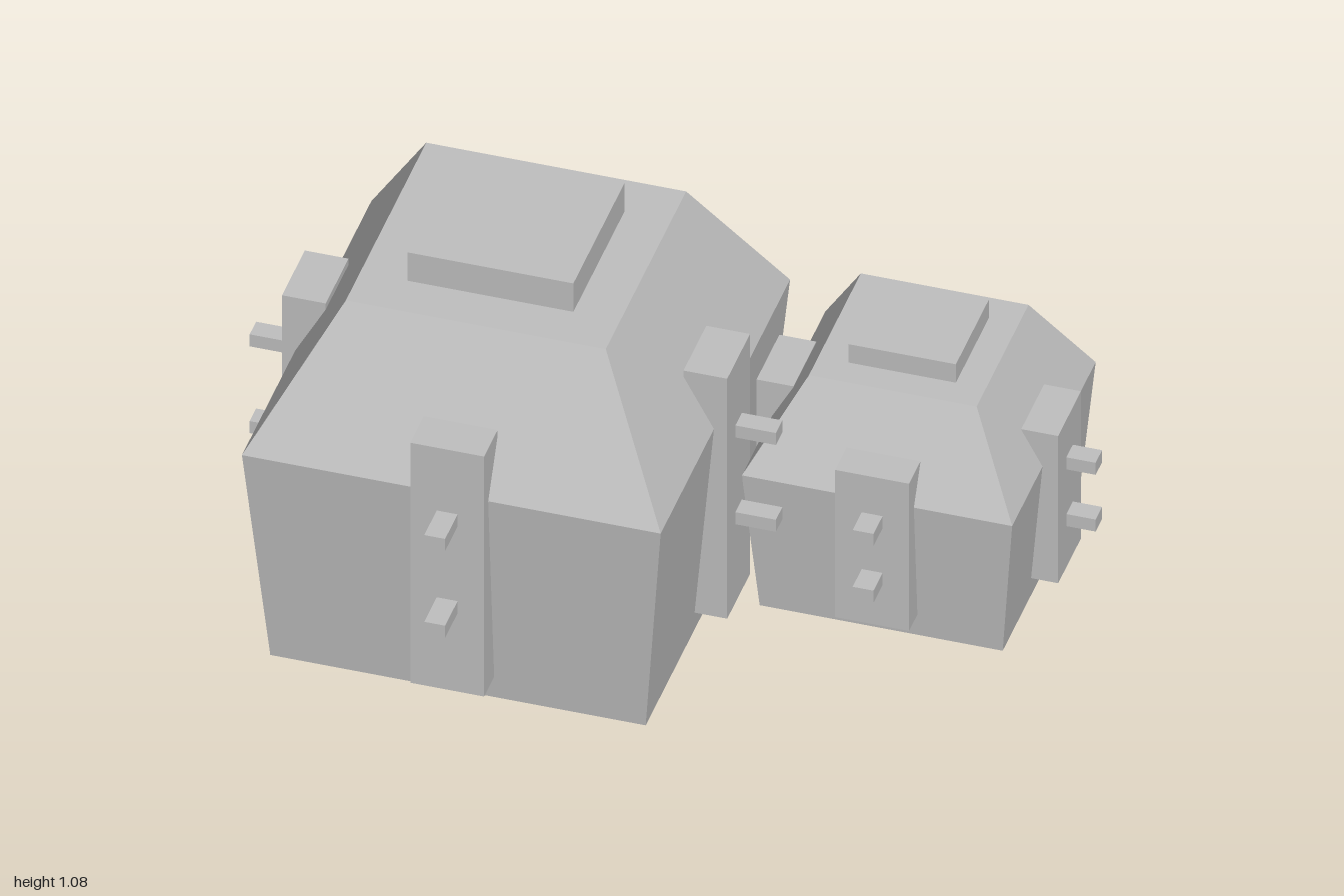
import * as THREE from 'three';

const grey = new THREE.MeshStandardMaterial({ color: 0xc0c0c0, flatShading: true });
grey.name = 'light grey';

function addBox(parent, name, w, h, d, x, y, z) {
  const mesh = new THREE.Mesh(new THREE.BoxGeometry(w, h, d), grey);
  mesh.name = name;
  mesh.position.set(x, y, z);
  parent.add(mesh);
}

// Square-sided hull turned from [half width, height] pairs
function squareHull(profile) {
  const points = profile.map(([half, y]) => new THREE.Vector2(half * Math.SQRT2, y));
  const geometry = new THREE.LatheGeometry(points, 4, Math.PI / 4).toNonIndexed();
  geometry.computeVertexNormals();
  return geometry;
}

function buildBlock(name, o) {
  const block = new THREE.Group();
  block.name = name;

  // Flared walls, sloping roof, flat top and base
  const hull = new THREE.Mesh(squareHull([
    [0, 0], [o.base, 0], [o.waist, o.waistY], [o.top, o.topY], [0, o.topY],
  ]), grey);
  hull.name = 'hull';
  block.add(hull);

  // Raised roof slab
  addBox(block, 'roofSlab', o.slab * 2, o.slabY - o.topY, o.slab * 2, 0, (o.slabY + o.topY) / 2, 0);

  // One buttress with two pegs on each side
  ['front', 'left', 'back', 'right'].forEach((side, i) => {
    const group = new THREE.Group();
    group.name = side + 'Buttress';
    group.rotation.y = i * Math.PI / 2;
    addBox(group, 'buttress', 0.184, o.finTop - 0.065, o.finOut - o.finIn,
      0, (o.finTop + 0.065) / 2, (o.finOut + o.finIn) / 2);
    for (const y of o.pegY) {
      addBox(group, 'peg', 0.052, 0.036, o.pegOut - o.finOut + 0.03,
        0, y, (o.pegOut + o.finOut - 0.03) / 2);
    }
    block.add(group);
  });
  return block;
}

export function createModel() {
  const model = new THREE.Group();
  model.name = 'blockPair';

  const large = buildBlock('largeBlock', {
    base: 0.468, waist: 0.522, waistY: 0.626, top: 0.324, topY: 0.99,
    slab: 0.207, slabY: 1.075, finIn: 0.446, finOut: 0.555, finTop: 0.784,
    pegOut: 0.656, pegY: [0.318, 0.578],
  });
  large.position.set(-0.344, 0, 0.078);

  const small = buildBlock('smallBlock', {
    base: 0.303, waist: 0.337, waistY: 0.406, top: 0.209, topY: 0.642,
    slab: 0.134, slabY: 0.697, finIn: 0.284, finOut: 0.376, finTop: 0.506,
    pegOut: 0.449, pegY: [0.206, 0.376],
  });
  small.position.set(0.547, 0, -0.288);

  model.add(large, small);
  return model;
}
